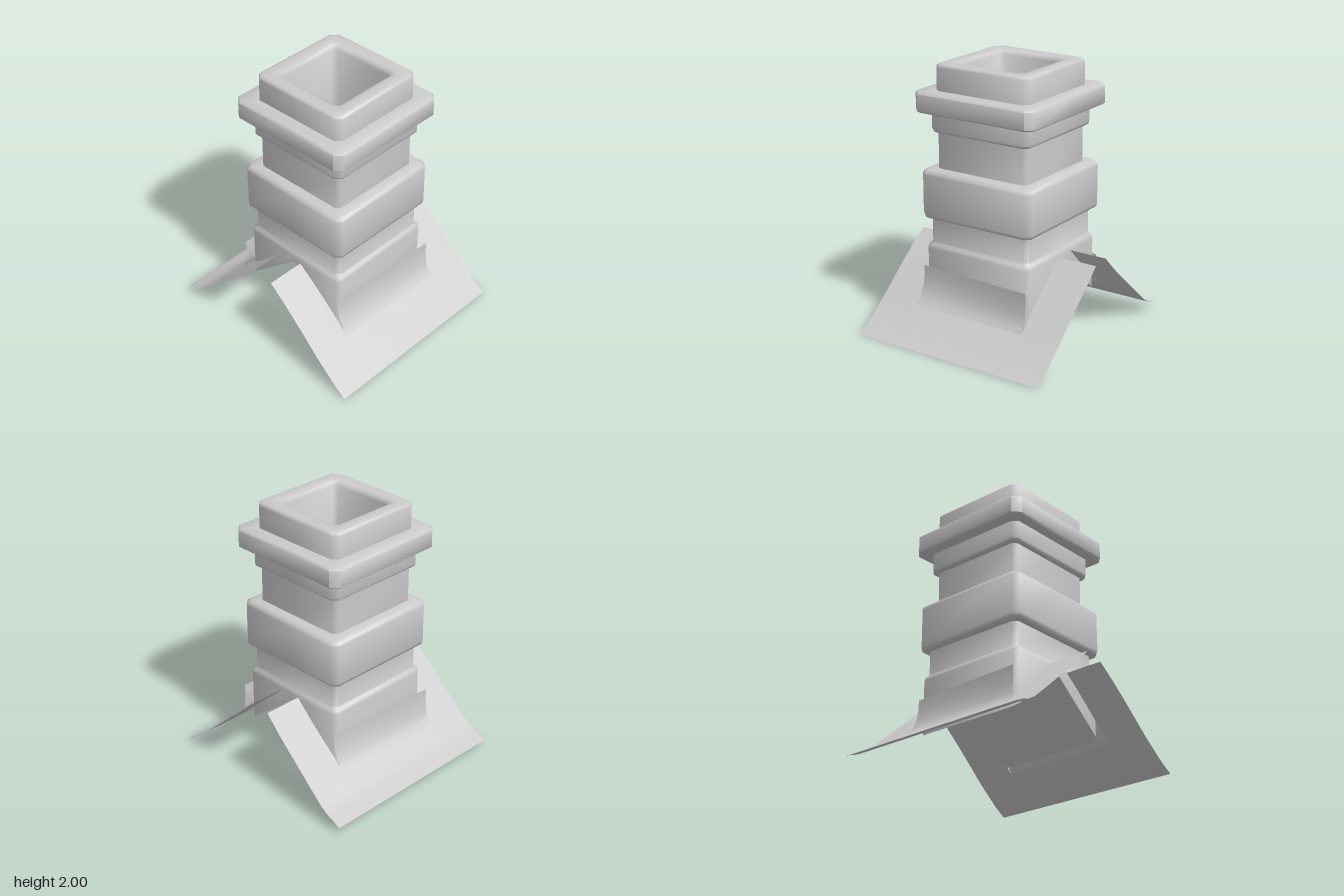
import * as THREE from 'three';
import { toCreasedNormals } from 'three/addons/utils/BufferGeometryUtils.js';

const grey = new THREE.MeshStandardMaterial({ color: 0xcccccc });
const sheetGrey = new THREE.MeshStandardMaterial({ color: 0xcccccc, side: THREE.DoubleSide });

// Square with cut corners, counter-clockwise from above, with extra points on the ridge line x = 0
function ring(h, c, yAt) {
  const k = h - c;
  return [[0, h], [k, h], [h, k], [h, -k], [k, -h], [0, -h], [-k, -h], [-h, -k], [-h, k], [-k, h]]
    .map(([x, z]) => [x, yAt(x), z]);
}

function geometryFrom(points, index) {
  const g = new THREE.BufferGeometry();
  g.setAttribute('position', new THREE.Float32BufferAttribute(points.flat(), 3));
  g.setIndex(index);
  return g;
}

// Joins neighbouring rows of points with quads
function quads(rowCount, n, closed) {
  const index = [];
  for (let r = 0; r < rowCount - 1; r++) {
    for (let i = 0; i < (closed ? n : n - 1); i++) {
      const j = (i + 1) % n;
      const a = r * n + i, b = r * n + j, c = a + n, d = b + n;
      index.push(a, b, d, a, d, c);
    }
  }
  return index;
}

// Chimney stack: rings of [half width, height, corner cut] from the foot over the rim into the flue
function makeStack() {
  const profile = [
    [0.445, 0.64, 0.03], [0.438, 0.665, 0.03], [0.42, 0.685, 0.03], [0.42, 0.87, 0.03],
    [0.447, 0.873, 0.035], [0.464, 0.886, 0.04], [0.472, 0.91, 0.045],
    [0.472, 1.2, 0.045], [0.464, 1.22, 0.04], [0.445, 1.236, 0.035],
    [0.383, 1.24, 0.03], [0.383, 1.505, 0.03],
    [0.4, 1.508, 0.035], [0.415, 1.518, 0.04], [0.42, 1.535, 0.04], [0.42, 1.65, 0.04],
    [0.42, 1.66, 0.04], [0.49, 1.66, 0.05], [0.505, 1.672, 0.055],
    [0.505, 1.795, 0.055], [0.49, 1.81, 0.05],
    [0.395, 1.81, 0.045], [0.395, 1.975, 0.045], [0.388, 1.992, 0.045], [0.37, 2, 0.045],
    [0.3, 2, 0.035], [0.277, 1.99, 0.03], [0.265, 1.965, 0.03], [0.235, 1.45, 0.03],
  ];
  const foot = ring(0.445, 0.03, x => 0.59 - 0.82 * Math.abs(x));
  const rings = [foot, ...profile.map(([h, y, c]) => ring(h, c, () => y))];
  const points = rings.flat();
  const n = foot.length;
  const index = quads(rings.length, n, true);
  // Underside following the roof slope, and the flue floor
  const under = points.push([0, 0.59, 0]) - 1;
  const floor = points.push([0, 1.45, 0]) - 1;
  const last = (rings.length - 1) * n;
  for (let i = 0; i < n; i++) {
    const j = (i + 1) % n;
    index.push(under, j, i, floor, last + i, last + j);
  }
  const mesh = new THREE.Mesh(toCreasedNormals(geometryFrom(points, index), 0.95), grey);
  mesh.name = 'chimneyStack';
  return mesh;
}

// Thin sheet spanned between a front and a back edge line
function makeSheet(name, front, back, steps = 6) {
  const rows = [];
  for (let s = 0; s <= steps; s++) {
    rows.push(front.map((p, i) => p.map((v, k) => THREE.MathUtils.lerp(v, back[i][k], s / steps))));
  }
  const g = geometryFrom(rows.flat(), quads(rows.length, front.length, false));
  g.computeVertexNormals();
  const mesh = new THREE.Mesh(g, sheetGrey);
  mesh.name = name;
  return mesh;
}

// One side of the roof flashing; turn = 1 on the left (+x), -1 for the half-turned copy
function makeFlashing(name, turn, slope, lift) {
  const group = new THREE.Group();
  group.name = name;
  const place = (x, y, z) => [turn * x, y, turn * z];
  const edge = 0.46;
  const skew = x => 0.755 + 0.034 * (x - 0.08);
  const inner = slope.map(([x, y]) => place(x, y, edge));
  const innerFar = slope.map(([x, y]) => place(x, y, -edge));

  // Long strips before and behind the stack; one upper corner is lifted a little
  group.add(makeSheet('nearStrip', slope.map(([x, y]) => place(x, y, skew(x))), inner));
  const raised = ([x, y], i) => y + (i === 0 ? lift : 0);
  group.add(makeSheet('farStrip',
    slope.map((p, i) => place(p[0], raised(p, i), -edge)),
    slope.map((p, i) => place(p[0], raised(p, i), -0.775))));

  // Lower apron below the stack
  const outer = p => Math.abs(p[0]) > 0.54;
  group.add(makeSheet('apron', inner.filter(outer), innerFar.filter(outer)));

  // Upturned flap against the stack, flaring away at its far end
  const start = slope.find(p => p[0] > 0.54);
  const near = [start, [0.515, 0.25], [0.485, 0.3], [0.462, 0.36], [0.451, 0.43], [0.45, 0.5]];
  const far = [start, [0.525, 0.25], [0.508, 0.29], [0.499, 0.35], [0.492, 0.43], [0.495, 0.5]];
  group.add(makeSheet('flap',
    near.map(([x, y]) => place(x, y, edge)), far.map(([x, y]) => place(x, y, -edge))));
  return group;
}

export function createModel() {
  const model = new THREE.Group();
  model.name = 'roofChimney';
  model.add(makeStack());
  model.add(makeFlashing('leftFlashing', 1, [
    [0.08, 0.625], [0.2, 0.53], [0.3, 0.445], [0.45, 0.308], [0.55, 0.215],
    [0.65, 0.132], [0.73, 0.067], [0.825, 0.005]], 0.02));
  model.add(makeFlashing('rightFlashing', -1, [
    [0.085, 0.645], [0.2, 0.53], [0.3, 0.44], [0.45, 0.31], [0.56, 0.212],
    [0.65, 0.135], [0.72, 0.095], [0.77, 0.08], [0.825, 0.055]], 0));
  return model;
}
